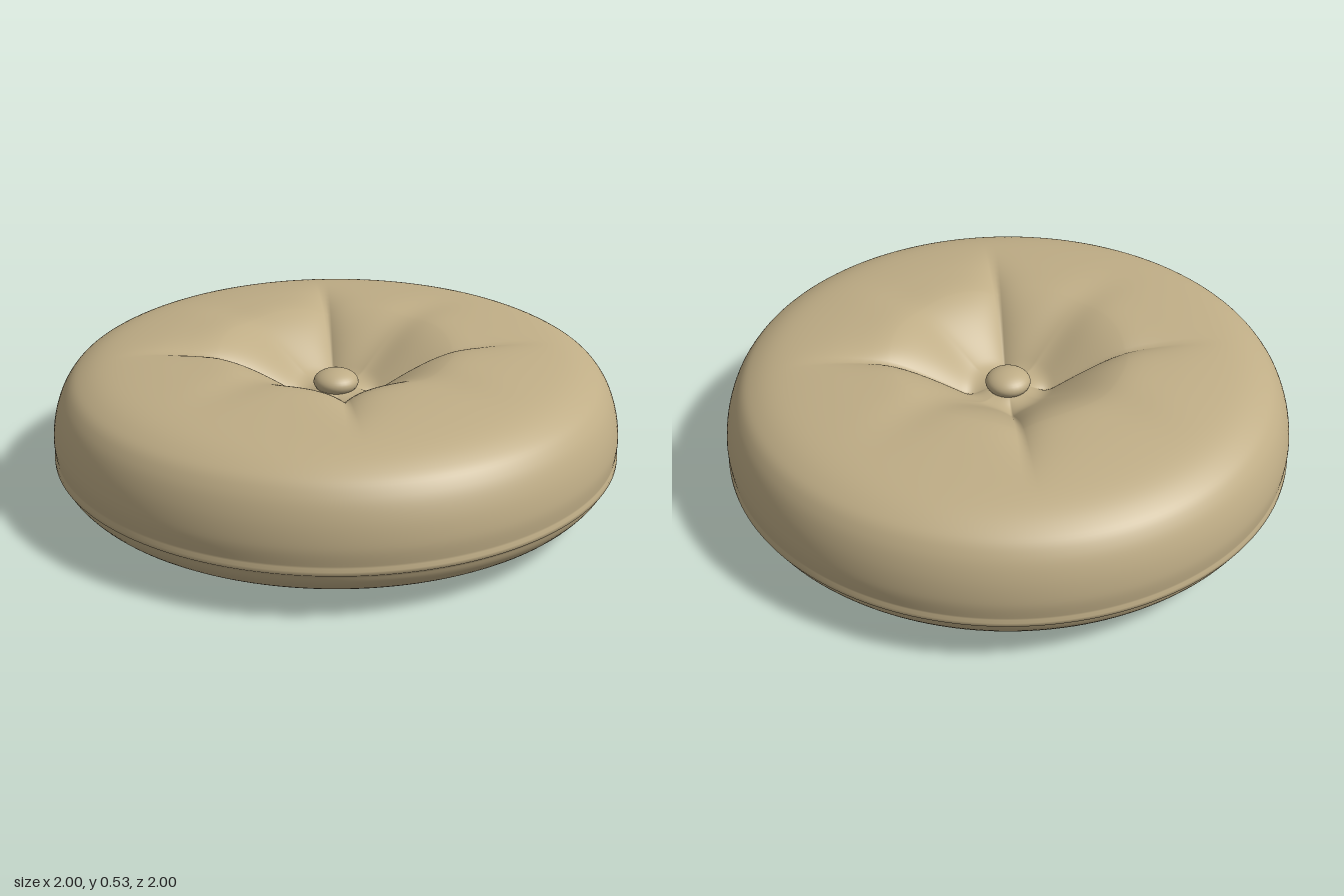
import * as THREE from 'three';
import { mergeVertices } from 'three/addons/utils/BufferGeometryUtils.js';

const fabric = new THREE.MeshStandardMaterial({ name: 'beige fabric', color: 0xbfad86 });
const grip = new THREE.MeshStandardMaterial({ name: 'dark base', color: 0x4e4e4e });

const vec = (p) => new THREE.Vector2(p[0], p[1]);
const smooth = THREE.MathUtils.smoothstep;

// How far the tufted top is pulled down at a point
function tuftDepth(x, z) {
  const r = Math.hypot(x, z);
  const hollow = 0.165 * Math.pow(1 - smooth(r, 0.02, 0.5), 1.3);
  const fade = smooth(r, 0.04, 0.16) * (1 - smooth(r, 0.25, 0.78));
  // sharp creases on the diagonals, soft ones on the axes
  const diagonal = Math.abs(Math.abs(x) - Math.abs(z)) / Math.SQRT2;
  const axis = Math.min(Math.abs(x), Math.abs(z));
  const sharp = 0.06 * Math.exp(-diagonal / 0.06);
  const soft = 0.016 * Math.exp(-((axis / 0.09) ** 2));
  return hollow + fade * (sharp + soft);
}

// Round cushion: lower half, seam ridge and upper half in one profile
function cushionGeometry() {
  const lower = new THREE.SplineCurve([
    [0.52, 0.009], [0.7, 0.035], [0.85, 0.058], [0.93, 0.087], [0.975, 0.13], [0.99, 0.165],
  ].map(vec)).getPoints(20);
  const upper = new THREE.SplineCurve([
    [0.995, 0.195], [0.998, 0.26], [0.982, 0.34], [0.95, 0.41], [0.9, 0.46],
    [0.8, 0.5], [0.62, 0.525], [0.42, 0.535],
  ].map(vec)).getPoints(40);
  const top = [];
  for (let i = 1; i <= 40; i++) top.push(vec([0.42 * (1 - i / 40), 0.535]));
  const seam = [[1, 0.172], [1, 0.185]].map(vec);
  const profile = [vec([0, 0.008]), ...lower, ...seam, ...upper, ...top];

  let geo = new THREE.LatheGeometry(profile, 192);
  const pos = geo.attributes.position;
  for (let i = 0; i < pos.count; i++) {
    const y = pos.getY(i);
    if (y > 0.4) pos.setY(i, y - tuftDepth(pos.getX(i), pos.getZ(i)));
  }
  geo.deleteAttribute('uv');
  geo.deleteAttribute('normal');
  geo = mergeVertices(geo, 1e-5);
  geo.computeVertexNormals();
  return geo;
}

// Thin round base plate with a rounded notch at one side
function baseGeometry() {
  const shape = new THREE.Shape();
  shape.absarc(0, 0, 0.52, 0.04, Math.PI * 2 - 0.66, false);
  shape.splineThru([
    [0.29, -0.255], [0.205, -0.185], [0.175, -0.1], [0.2, -0.015],
    [0.28, 0.03], [0.4, 0.035], [0.519, 0.02],
  ].map(vec));
  const geo = new THREE.ExtrudeGeometry(shape, { depth: 0.007, bevelEnabled: false, curveSegments: 64 });
  return geo.rotateX(Math.PI / 2).translate(0, 0.007, 0);
}

export function createModel() {
  const model = new THREE.Group();
  model.name = 'roundCushion';
  const add = (name, geo, material) => {
    const mesh = new THREE.Mesh(geo, material);
    mesh.name = name;
    model.add(mesh);
    return mesh;
  };

  add('cushion', cushionGeometry(), fabric);

  // Domed button in the hollow
  const button = add('button', new THREE.SphereGeometry(0.08, 32, 20), fabric);
  button.scale.y = 0.55;
  button.position.y = 0.39;

  add('basePlate', baseGeometry(), grip);
  return model;
}
